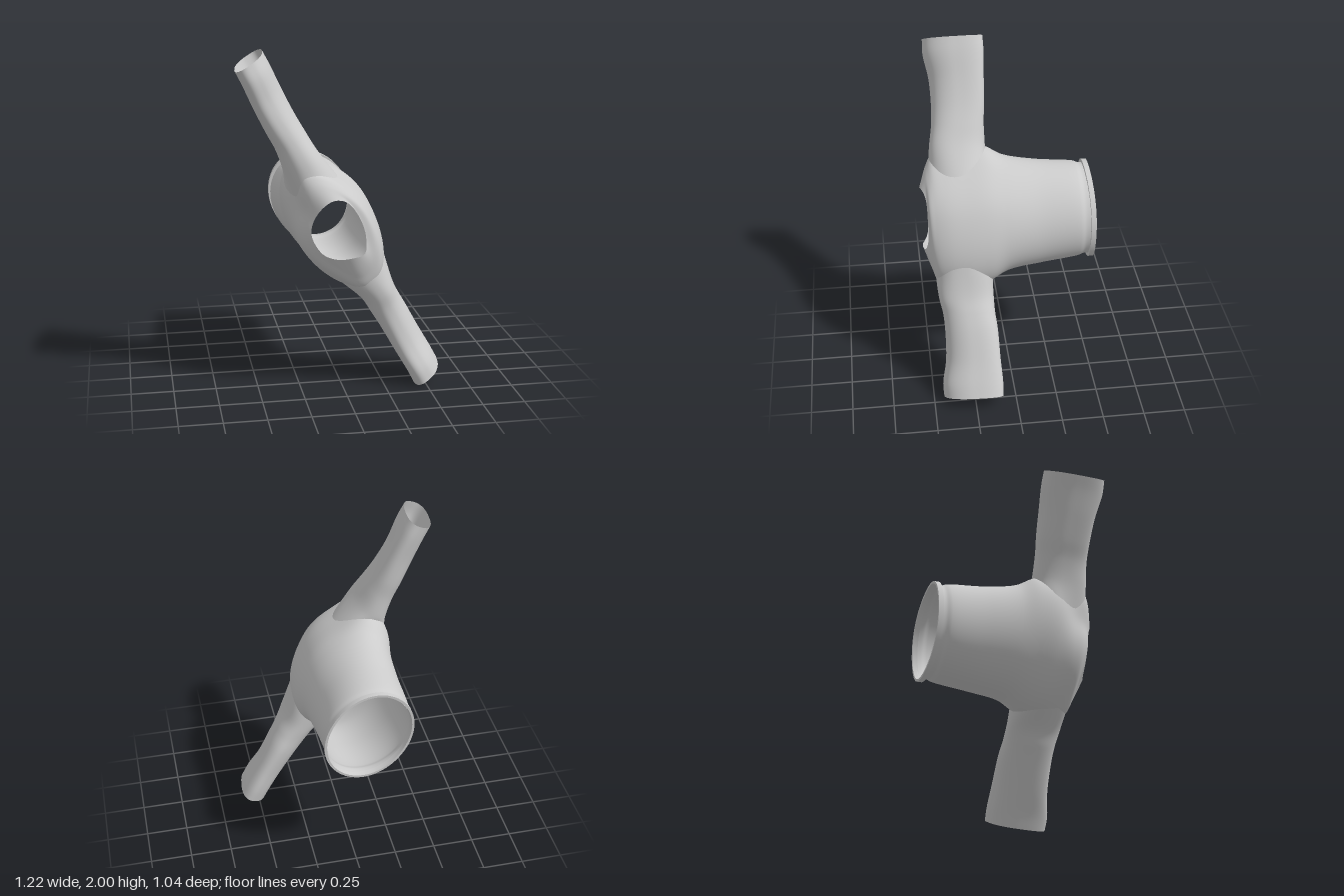
import * as THREE from 'three';
import { toCreasedNormals } from 'three/addons/utils/BufferGeometryUtils.js';

const material = new THREE.MeshStandardMaterial({ color: 0xcccccc, side: THREE.DoubleSide });
const COLS = 72;
const { smoothstep, lerp } = THREE.MathUtils;

// Sleeve direction and the direction across the chest, both in the xy plane
const ALONG = new THREE.Vector3(-0.485, 0.874, 0).normalize();
const ACROSS = new THREE.Vector3(ALONG.y, -ALONG.x, 0);

// Torso sections: z, centre x, centre y, radius along the sleeves, radius across
const TORSO = [
  [-0.5, -0.066, 0.985, 0.28, 0.24],
  [-0.465, -0.067, 0.985, 0.28, 0.24],
  [-0.43, -0.068, 0.985, 0.292, 0.249],
  [-0.2, -0.06, 0.988, 0.318, 0.242],
  [0, -0.05, 1.0, 0.353, 0.246],
  [0.12, -0.044, 1.006, 0.412, 0.244],
  [0.25, -0.038, 0.99, 0.42, 0.238],
  [0.36, -0.04, 0.985, 0.41, 0.225],
  [0.43, -0.045, 0.99, 0.385, 0.203],
  [0.465, -0.048, 1.005, 0.315, 0.178],
];

// Neck opening outline (x, y), clockwise from the upper shoulder
const NECK = [
  [-0.115, 1.175], [-0.07, 1.19], [0, 1.17], [0.065, 1.09], [0.108, 0.97], [0.1, 0.87],
  [0.03, 0.85], [-0.07, 0.84], [-0.14, 0.87], [-0.2, 0.97], [-0.2, 1.04], [-0.16, 1.13],
];

// Armhole outline on the torso side
const ARMHOLE = { s: 0.015, w: 0.16, z: 0.275, h: 0.172 };

// Sleeve stations: x, y, half thickness, centre z, half depth
const SLEEVES = {
  rightSleeve: [1, [
    [-0.24, 1.385, 0.113, 0.27, 0.168], [-0.295, 1.5, 0.101, 0.26, 0.157],
    [-0.35, 1.6, 0.1, 0.252, 0.158], [-0.42, 1.74, 0.1, 0.252, 0.163],
    [-0.485, 1.88, 0.099, 0.262, 0.18], [-0.525, 1.957, 0.098, 0.262, 0.178]]],
  leftSleeve: [-1, [
    [0.215, 0.585, 0.106, 0.27, 0.166], [0.265, 0.5, 0.101, 0.26, 0.157],
    [0.32, 0.41, 0.1, 0.252, 0.158], [0.41, 0.25, 0.099, 0.252, 0.163],
    [0.483, 0.125, 0.099, 0.262, 0.18], [0.522, 0.051, 0.1, 0.262, 0.178]]],
};

const ring = (fn) => Array.from({ length: COLS }, (_, j) => fn((j / COLS) * Math.PI * 2));

// Skin a list of rings; steps > 0 smooths the columns, drop() leaves holes
function loft(keys, steps = 0, drop = () => false) {
  let rings = keys;
  if (steps) {
    const columns = keys[0].map((_, j) =>
      new THREE.CatmullRomCurve3(keys.map((r) => r[j]), false, 'centripetal').getPoints(steps));
    rings = columns[0].map((_, i) => columns.map((c) => c[i]));
  }
  const positions = rings.flat().flatMap((p) => [p.x, p.y, p.z]);
  const index = [];
  for (let i = 0; i < rings.length - 1; i++) {
    for (let j = 0; j < COLS; j++) {
      const k = (j + 1) % COLS;
      const mid = rings[i][j].clone().add(rings[i + 1][k]).multiplyScalar(0.5);
      if (drop(mid)) continue;
      const a = i * COLS + j, b = a + COLS, c = i * COLS + k, d = c + COLS;
      index.push(a, b, c, c, b, d);
    }
  }
  const geometry = new THREE.BufferGeometry();
  geometry.setAttribute('position', new THREE.Float32BufferAttribute(positions, 3));
  geometry.setIndex(index);
  geometry.computeVertexNormals();
  return geometry;
}

// Torso section at any z
function sectionAt(z) {
  let i = 0;
  while (i < TORSO.length - 2 && TORSO[i + 1][0] < z) i++;
  const f = (z - TORSO[i][0]) / (TORSO[i + 1][0] - TORSO[i][0]);
  return TORSO[i].map((v, k) => lerp(v, TORSO[i + 1][k], f));
}

// Hollows between the sleeves and the chest, strongest beside the upper shoulder
function pinch(t, z) {
  const diagonal = Math.sin(2 * t) ** 2;
  const upper = Math.cos(t) > 0, front = Math.sin(t) < 0;
  if (front) return 1 - diagonal * (upper ? 0.23 : 0.12) * smoothstep(z, 0.2, 0.44);
  return 1 - diagonal * (upper ? 0.1 : 0) * smoothstep(z, -0.1, 0.15);
}

// Point on the torso section at angle t
function torsoPoint([z, cx, cy, a, b], t) {
  const f = pinch(t, z);
  return new THREE.Vector3(cx, cy, z)
    .addScaledVector(ALONG, a * f * Math.cos(t))
    .addScaledVector(ACROSS, b * f * Math.sin(t));
}

function inArmhole(p) {
  const [, cx, cy, a, b] = sectionAt(p.z);
  const q = new THREE.Vector3(p.x - cx, p.y - cy, 0);
  const angle = Math.atan2(q.dot(ACROSS) / b, q.dot(ALONG) / a);
  const s = (b * Math.sin(angle) - ARMHOLE.s) / ARMHOLE.w;
  const t = (p.z - ARMHOLE.z) / ARMHOLE.h;
  return s * s + t * t < 0.8;
}

// Neck rim: peaks at both shoulders and dips slightly on one side of the chest
function neckRing() {
  const outline = new THREE.CatmullRomCurve3(
    NECK.map(([x, y]) => new THREE.Vector3(x, y, 0)), true);
  return ring((t) => {
    const p = outline.getPointAt(t / (Math.PI * 2));
    p.z = 0.478 + 0.035 * Math.cos(t) ** 6 - 0.015 * Math.max(0, -Math.sin(t)) ** 2;
    return p;
  });
}

function torsoGeometry() {
  const keys = TORSO.map((section) => ring((t) => {
    const p = torsoPoint(section, t);
    p.z -= 0.02 * smoothstep(p.z, 0.3, 0.46) * Math.max(0, -Math.sin(t)) ** 2;
    return p;
  }));
  return loft([...keys, neckRing()], 90, inArmhole);
}

// Sleeve flares from the armhole on the torso to an open cuff, twisting slightly
function sleeveGeometry(side, stations) {
  const seam = ring((t) => {
    const section = sectionAt(ARMHOLE.z + ARMHOLE.h * Math.sin(t) * side);
    const angle = Math.asin((ARMHOLE.s + ARMHOLE.w * Math.cos(t)) / section[4]);
    return torsoPoint(section, side > 0 ? angle : Math.PI - angle)
      .addScaledVector(ALONG, -0.005 * side);
  });
  const round = (v) => Math.sign(v) * Math.abs(v) ** 0.85;
  const rest = stations.map(([x, y, w, z, h], i) => {
    const twist = side * 0.45 * Math.min(1, i / 3);
    return ring((t) => new THREE.Vector3(x, y, z + h * round(Math.sin(t)) * side)
      .addScaledVector(ACROSS, w * round(Math.cos(t + twist))));
  });
  return loft([seam, ...rest], 48);
}

// Hem band: a thin, slightly wavy closed ring
function hemGeometry() {
  const profile = [[-0.518, 0], [-0.488, 0], [-0.488, 0.02], [-0.518, 0.014], [-0.518, 0]];
  const keys = profile.map(([z, inset]) => ring((t) => {
    const wave = 0.005 * Math.cos(t) + 0.003 * Math.sin(3 * t);
    const p = torsoPoint([z, -0.066, 0.985, 0.3 - inset, 0.254 - inset], t);
    p.z += wave;
    return p;
  }));
  return toCreasedNormals(loft(keys), 0.7);
}

export function createModel() {
  const model = new THREE.Group();
  model.name = 'sweater';
  const add = (name, geometry) => {
    const mesh = new THREE.Mesh(geometry, material);
    mesh.name = name;
    model.add(mesh);
  };
  add('torso', torsoGeometry());
  add('hemBand', hemGeometry());
  for (const [name, [side, stations]] of Object.entries(SLEEVES)) {
    add(name, sleeveGeometry(side, stations));
  }
  return model;
}
